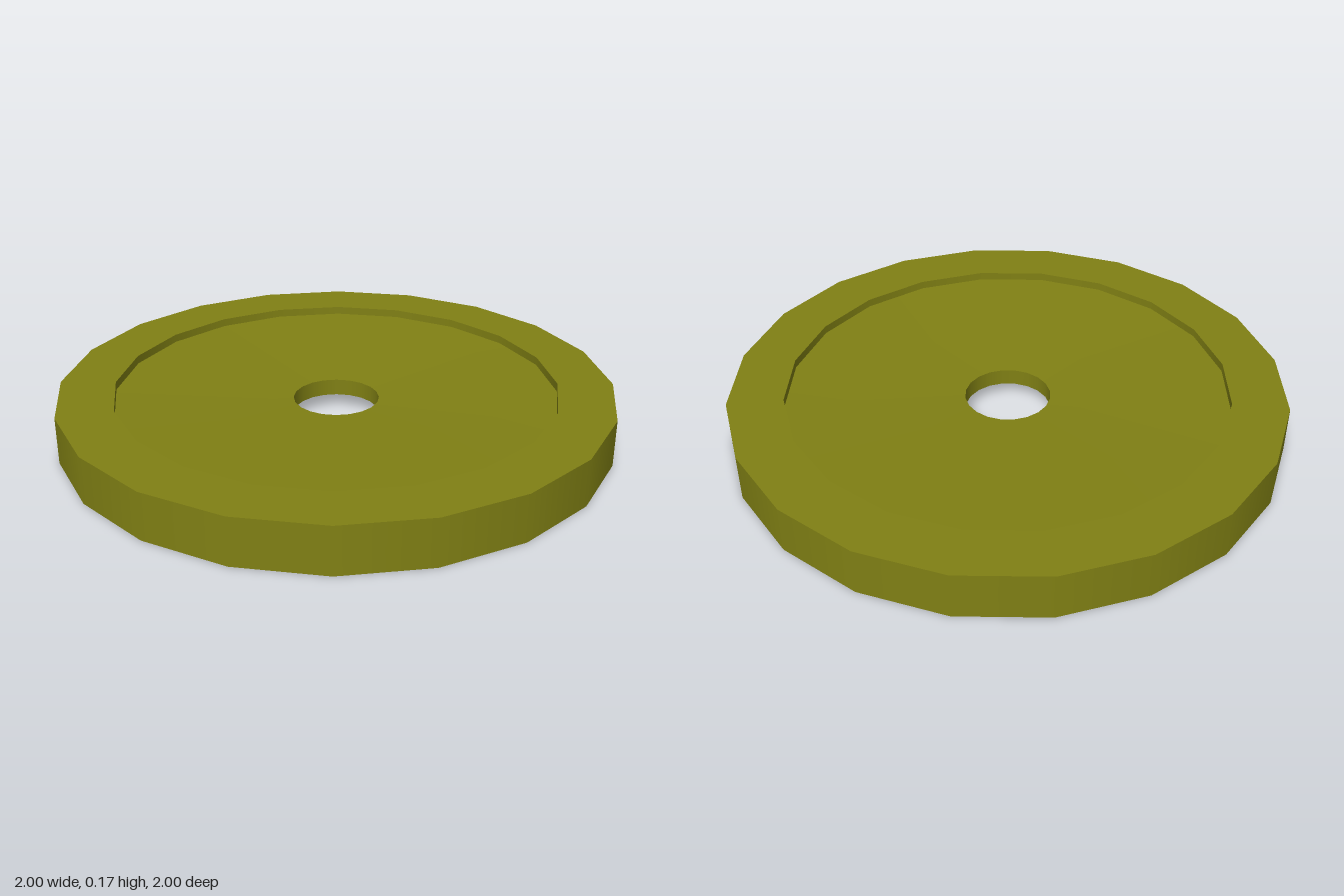
import * as THREE from 'three';
import { mergeGeometries } from 'three/addons/utils/BufferGeometryUtils.js';

const SIDES = 20;
const HEIGHT = 0.17;

// Closed cross-section [radius, y], counter-clockwise from the bottom outer edge
const half = [[0.155, 0.055], [0.8, 0.03], [0.8, 0], [1, 0]];
const profile = [
  ...half,
  ...half.map(([r, y]) => [r, HEIGHT - y]).reverse(),
];

// Each profile segment is turned separately, so it is smooth around but sharp between segments
function turnSharp(points) {
  const bands = points.map((p, i) => {
    const q = points[(i + 1) % points.length];
    return new THREE.LatheGeometry([new THREE.Vector2(...p), new THREE.Vector2(...q)], SIDES);
  });
  return mergeGeometries(bands);
}

export function createModel() {
  const group = new THREE.Group();
  group.name = 'weightPlate';

  // Flat outer rim, dished web on both faces and a central bore
  const material = new THREE.MeshStandardMaterial({ color: 0x808014 });
  const plate = new THREE.Mesh(turnSharp(profile), material);
  plate.name = 'plate';
  group.add(plate);

  return group;
}
